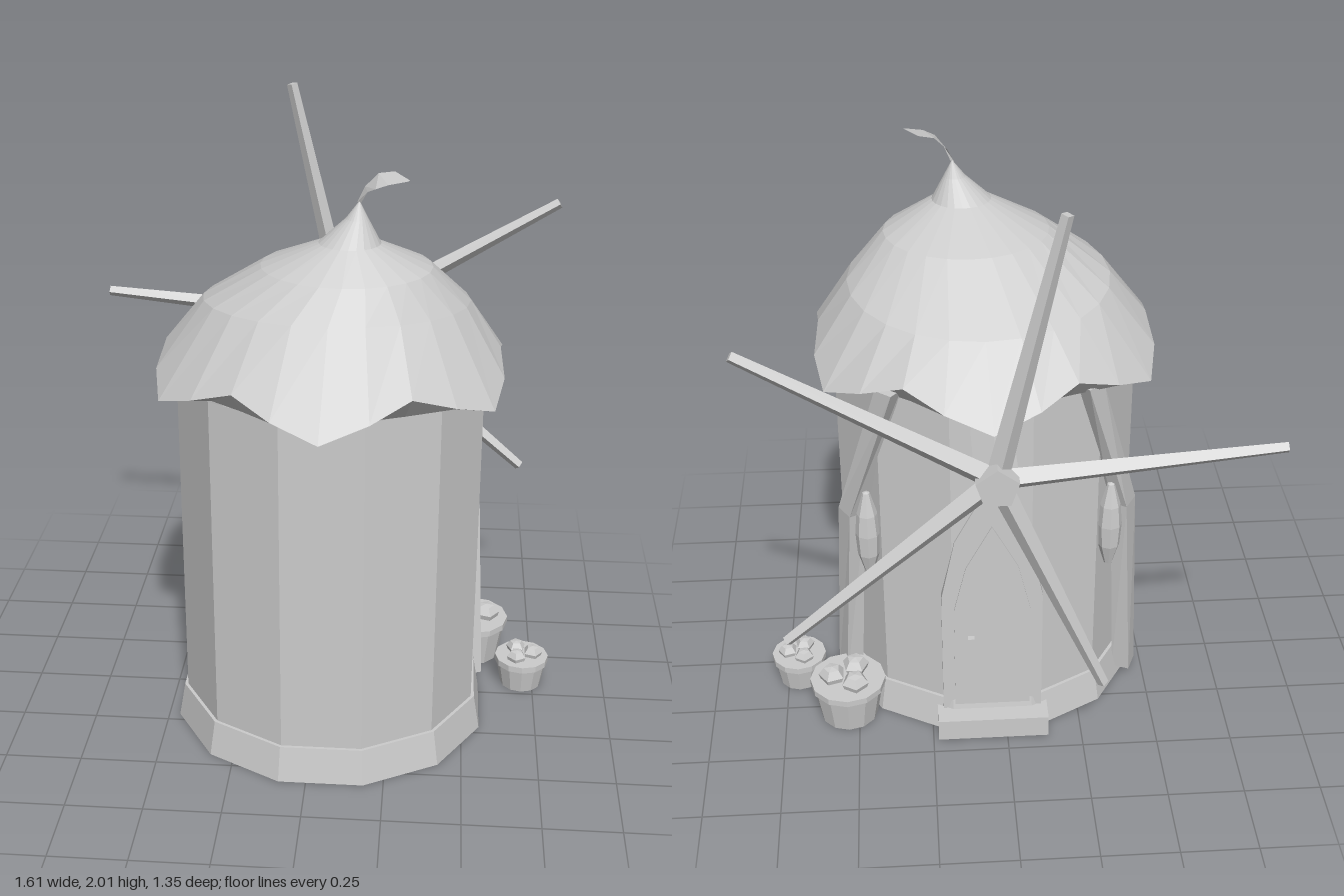
import * as THREE from 'three';

const CX = 0.048, CZ = 0.085; // tower axis

export function createModel() {
  const model = new THREE.Group();
  const grey = new THREE.MeshStandardMaterial({ color: 0xcccccc, side: THREE.DoubleSide });
  grey.name = 'plainGrey';

  // faceted mesh
  function add(name, geometry, x = 0, y = 0, z = 0, parent = model) {
    const g = geometry.index ? geometry.toNonIndexed() : geometry;
    g.computeVertexNormals();
    const mesh = new THREE.Mesh(g, grey);
    mesh.name = name;
    mesh.position.set(x, y, z);
    parent.add(mesh);
    return mesh;
  }

  // skin over closed rings of points, listed counter-clockwise seen from above
  function loft(rings) {
    const pos = [];
    for (let i = 0; i + 1 < rings.length; i++) {
      const a = rings[i], b = rings[i + 1], n = a.length;
      for (let j = 0; j < n; j++) {
        const k = (j + 1) % n;
        pos.push(...a[j], ...a[k], ...b[k], ...a[j], ...b[k], ...b[j]);
      }
    }
    const g = new THREE.BufferGeometry();
    g.setAttribute('position', new THREE.Float32BufferAttribute(pos, 3));
    return g;
  }
  // ring of n points, point(angle) gives [x, y, z]
  const ring = (n, offset, point) =>
    Array.from({ length: n }, (_, i) => point(offset + (i * Math.PI * 2) / n));
  const ellipse = (n, off, cx, cz, rx, rz, y) =>
    ring(n, off, a => [cx + rx * Math.sin(a), y, cz + rz * Math.cos(a)]);

  // tower with a recessed floor and a flared skirt
  const wall = (r, y) => ellipse(12, Math.PI / 12, CX, CZ, r, r * 0.955, y);
  add('towerWall', loft([wall(0.498, 0.12), wall(0.498, 1.26)]));
  add('baseSkirt', loft([wall(0.53, 0), wall(0.509, 0.12), wall(0.498, 0.12)]));
  add('floor', loft([wall(0, 0.12), wall(0.509, 0.12)]));

  // scalloped roof with a crooked peak
  const rim = ring(24, 0, a => {
    const lobe = Math.cos(6 * a);
    const r = 0.56 + 0.03 * lobe;
    return [CX + r * Math.sin(a), 1.288 - 0.048 * lobe, CZ + r * Math.cos(a)];
  });
  const shoulder = ring(24, 0, a =>
    [0.06 + 0.42 * Math.sin(a), 1.485 + 0.035 * Math.cos(a), 0.075 + 0.38 * Math.cos(a)]);
  add('roof', loft([
    rim, shoulder,
    ellipse(24, 0, 0.095, 0.15, 0.265, 0.23, 1.615),
    ellipse(24, 0, 0.107, 0.195, 0.095, 0.085, 1.7),
    ellipse(24, 0, 0.128, 0.196, 0.035, 0.032, 1.775),
    ellipse(24, 0, 0.135, 0.194, 0, 0, 1.83),
  ]));
  add('roofUnderside', loft([
    ellipse(24, 0, CX, CZ, 0.485, 0.463, 1.26), rim,
  ]));

  // curled leaf on the peak: pairs of edge points
  const leafEdges = [
    [0.128, 1.825, 0.19, 0.14, 1.825, 0.2],
    [0.15, 1.87, 0.18, 0.16, 1.865, 0.225],
    [0.19, 1.91, 0.175, 0.185, 1.885, 0.265],
    [0.238, 1.917, 0.178, 0.222, 1.9, 0.272],
    [0.285, 1.912, 0.258, 0.28, 1.91, 0.264],
  ];
  const leafPos = [];
  for (let i = 0; i + 1 < leafEdges.length; i++) {
    const a = leafEdges[i], b = leafEdges[i + 1];
    const [a0, a1, b0, b1] = [a.slice(0, 3), a.slice(3), b.slice(0, 3), b.slice(3)];
    leafPos.push(...a0, ...a1, ...b1, ...a0, ...b1, ...b0);
  }
  const leaf = new THREE.BufferGeometry();
  leaf.setAttribute('position', new THREE.Float32BufferAttribute(leafPos, 3));
  add('peakLeaf', leaf);

  // leaning beams and hanging pods, mirrored on both sides of the door
  const rad = Math.PI / 180;
  for (const side of [1, -1]) {
    const section = (deg, r, y, w, d) => {
      const s = Math.sin(deg * rad), c = Math.cos(deg * rad);
      const pts = [[1, -1], [1, 1], [-1, 1], [-1, -1]].map(([t, n]) => [
        CX + side * (s * (r + n * d) + c * t * w), y,
        CZ - c * (r + n * d) + s * t * w,
      ]);
      return side > 0 ? pts : pts.reverse();
    };
    add(side > 0 ? 'leftBeam' : 'rightBeam', loft([
      section(68, 0.52, 0.03, 0, 0),
      section(68, 0.52, 0.03, 0.037, 0.03),
      section(60, 0.515, 0.77, 0.037, 0.028),
      section(39, 0.495, 1.29, 0.032, 0.025),
      section(39, 0.495, 1.29, 0, 0),
    ]));
    const pod = new THREE.LatheGeometry([
      [0, -0.16], [0.014, -0.155], [0.036, -0.08], [0.041, 0], [0.034, 0.075], [0.012, 0.155], [0, 0.16],
    ].map(p => new THREE.Vector2(...p)), 8);
    add(side > 0 ? 'leftPod' : 'rightPod', pod, CX + side * 0.395, 0.72, CZ - 0.318);
  }

  // pointed door with frame, handle and step
  function arch(w, spring, shoulderW, shoulderY, top, depth) {
    const s = new THREE.Shape();
    s.moveTo(-w, 0.06);
    s.lineTo(w, 0.06);
    s.lineTo(w, spring);
    s.lineTo(shoulderW, shoulderY);
    s.lineTo(0, top);
    s.lineTo(-shoulderW, shoulderY);
    s.lineTo(-w, spring);
    s.closePath();
    return new THREE.ExtrudeGeometry(s, { depth, bevelEnabled: false });
  }
  add('doorFrame', arch(0.165, 0.55, 0.12, 0.77, 1.0, 0.05), CX, 0, -0.382);
  add('door', arch(0.125, 0.5, 0.085, 0.67, 0.83, 0.04), CX, 0, -0.387);
  add('doorHandle', new THREE.BoxGeometry(0.022, 0.052, 0.025), CX + 0.07, 0.37, -0.394);
  add('doorStep', new THREE.BoxGeometry(0.37, 0.078, 0.13), CX, 0.047, -0.387);

  // windmill: axle and five tapered arms
  const wheel = new THREE.Group();
  wheel.name = 'windmill';
  wheel.position.set(CX, 1.163, -0.62);
  model.add(wheel);
  const axle = new THREE.CylinderGeometry(0.068, 0.068, 0.34, 5);
  axle.rotateX(-Math.PI / 2).rotateZ(Math.PI);
  let low = Infinity;
  for (let i = 0; i < axle.attributes.position.count; i++) low = Math.min(low, axle.attributes.position.getY(i));
  if (low < -0.06) axle.rotateZ(Math.PI); // point of the axle faces up
  add('axle', axle, 0, 0, 0.115, wheel);
  for (let i = 0; i < 5; i++) {
    const arm = new THREE.CylinderGeometry(0.018, 0.036, 0.86, 4);
    arm.translate(0, 0.43, 0);
    add('arm', arm, 0, 0, 0, wheel).rotation.z = (12.8 + 72 * i) * rad;
  }

  // tubs filled with faceted fruit
  function tub(name, x, z, r, h, spread) {
    const group = new THREE.Group();
    group.name = name;
    group.position.set(x, 0, z);
    model.add(group);
    const profile = [
      [0, 0], [0.76 * r, 0], [0.93 * r, h - 0.022], [r, h - 0.022], [r, h], [0, h],
    ].map(p => new THREE.Vector2(...p));
    add('tubBody', new THREE.LatheGeometry(profile, 12), 0, 0, 0, group);
    for (let i = 0; i < 3; i++) {
      const a = i * Math.PI * 2 / 3;
      const size = spread * 0.9;
      const fruit = new THREE.LatheGeometry([
        [size * 0.8, -0.01], [size, size * 0.4], [size * 0.6, size * 0.95], [0, size * 1.05],
      ].map(p => new THREE.Vector2(...p)), 5);
      fruit.rotateY(a + 0.3);
      add('fruit', fruit, Math.cos(a) * spread, h, Math.sin(a) * spread, group);
    }
  }
  tub('largeTub', 0.535, -0.277, 0.128, 0.15, 0.052);
  tub('smallTub', 0.71, -0.085, 0.093, 0.11, 0.038);

  return model;
}
